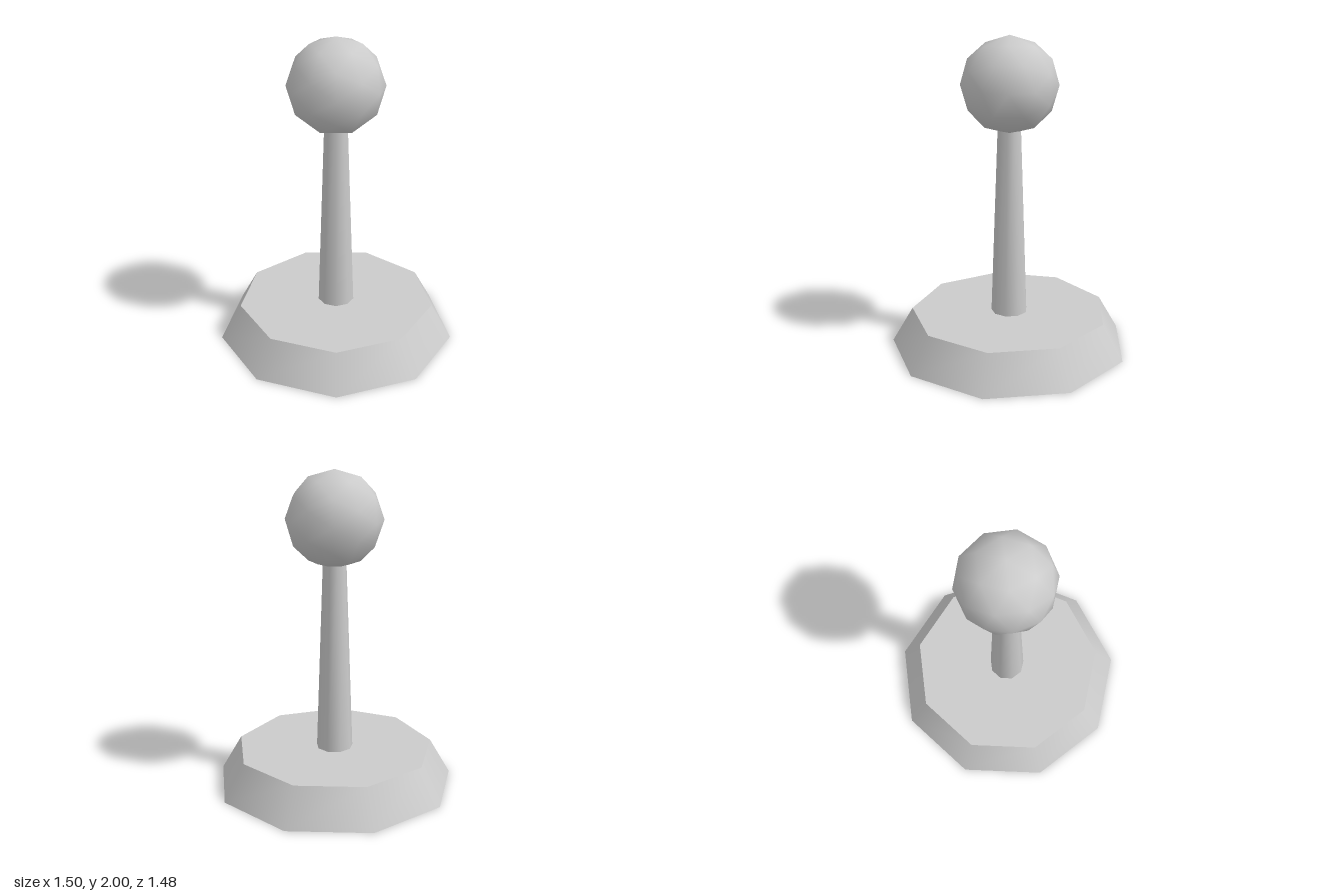
import * as THREE from 'three';

const SIDES = 9;

export function createModel() {
  const group = new THREE.Group();
  const material = new THREE.MeshStandardMaterial({ color: 0xcccccc });

  const add = (name, geometry, y) => {
    const mesh = new THREE.Mesh(geometry, material);
    mesh.name = name;
    mesh.position.y = y;
    group.add(mesh);
  };

  // Nine-sided tapered part standing between two heights
  const addTaper = (name, topRadius, bottomRadius, y0, y1) =>
    add(name, new THREE.CylinderGeometry(topRadius, bottomRadius, y1 - y0, SIDES), (y0 + y1) / 2);

  addTaper('base', 0.63, 0.763, 0, 0.23);
  // The post sinks slightly into the base and the knob
  addTaper('post', 0.071, 0.117, 0.2, 1.5);
  // Faceted outline with smooth normals
  add('knob', new THREE.IcosahedronGeometry(0.3, 1), 1.7);

  // Centre the odd-sided base on z
  group.position.z = -0.023;
  const model = new THREE.Group();
  model.name = 'ballTopLever';
  model.add(group);
  return model;
}
